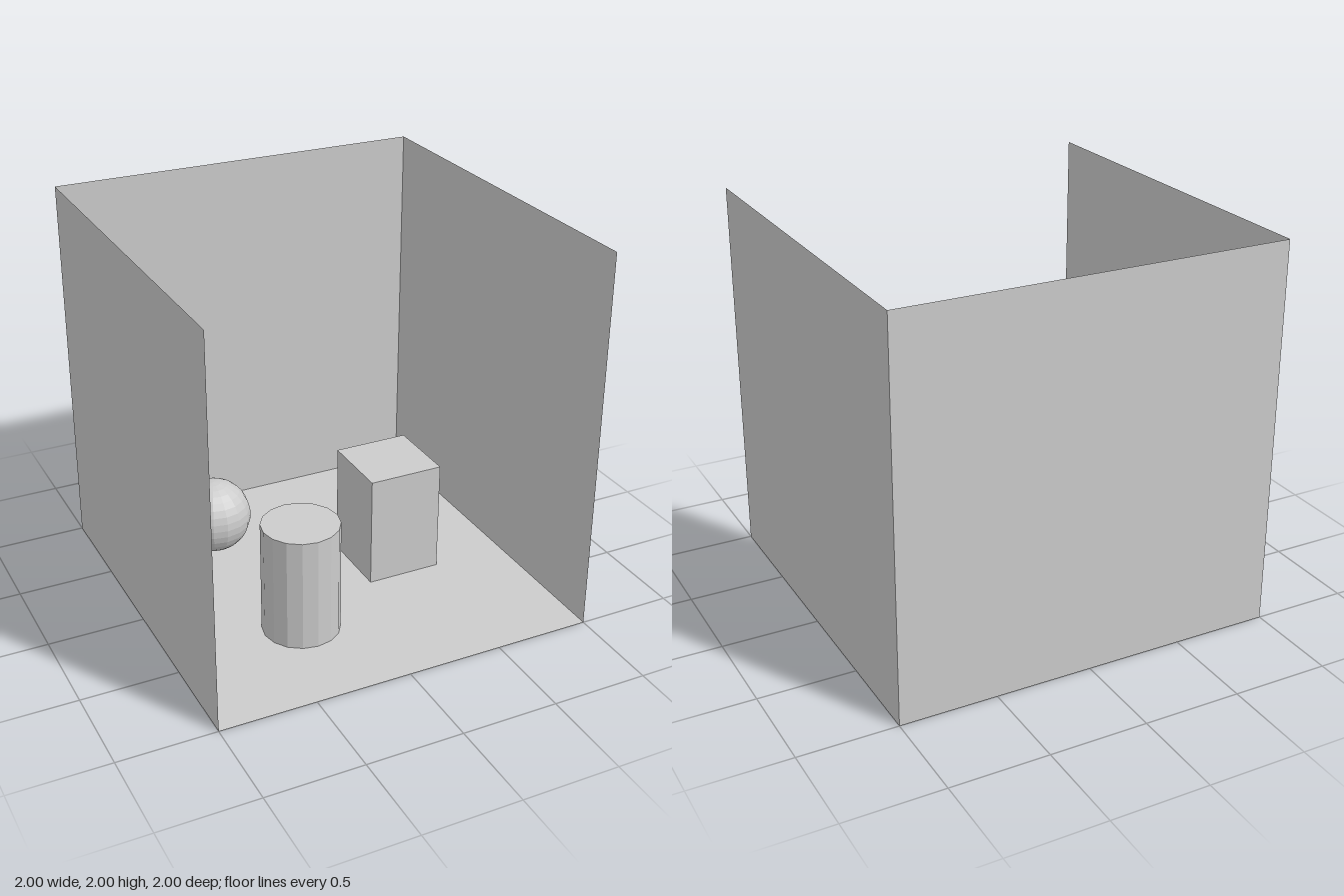
import * as THREE from 'three';

export function createModel() {
  const group = new THREE.Group();
  const solid = new THREE.MeshStandardMaterial({ color: 0xcccccc, flatShading: true });
  const sheet = new THREE.MeshStandardMaterial({ color: 0xcccccc, flatShading: true, side: THREE.DoubleSide });

  const add = (name, geometry, material, x, y, z) => {
    const mesh = new THREE.Mesh(geometry, material);
    mesh.name = name;
    mesh.position.set(x, y, z);
    group.add(mesh);
    return mesh;
  };

  // Open room of thin sheets: floor, back and two side walls; no front or ceiling
  const panel = new THREE.PlaneGeometry(2, 2);
  add('floor', panel, sheet, 0, 0, 0).rotation.x = -Math.PI / 2;
  add('backWall', panel, sheet, 0, 1, -1);
  for (const [name, side] of [['leftWall', 1], ['rightWall', -1]]) {
    add(name, panel, sheet, side, 1, 0).rotation.y = -side * Math.PI / 2;
  }

  // Solids standing on the floor
  add('block', new THREE.BoxGeometry(0.4, 0.6, 0.4), solid, 0.4, 0.3, 0);
  add('cylinder', new THREE.CylinderGeometry(0.2, 0.2, 0.6, 16), solid, -0.3, 0.3, 0.4);
  add('ball', new THREE.SphereGeometry(0.2, 16, 16), solid, -0.4, 0.2, -0.5);

  return group;
}
